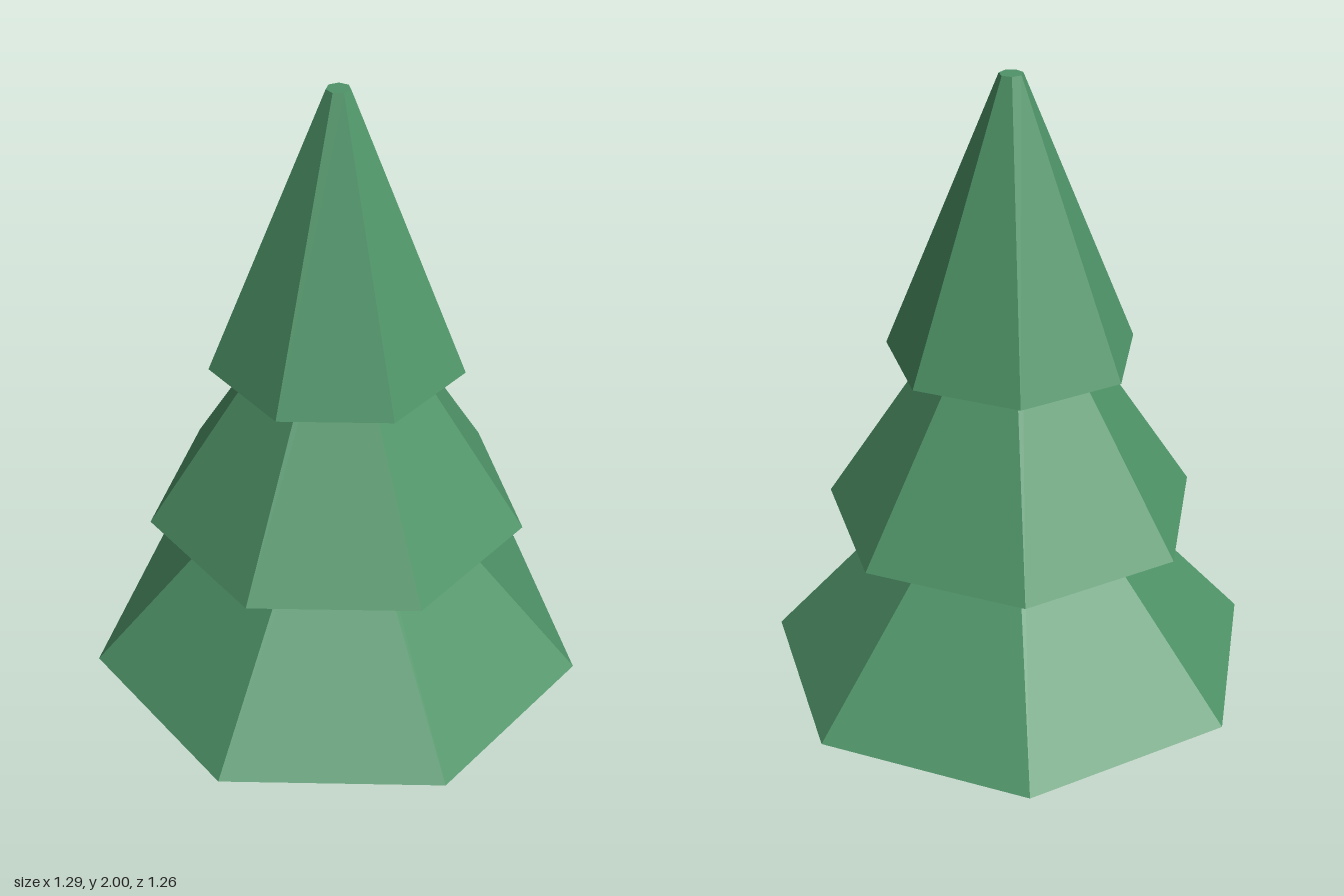
import * as THREE from 'three';

export function createModel() {
  const tree = new THREE.Group();
  tree.name = 'pineTree';

  const green = new THREE.MeshStandardMaterial({ color: 0x4f9468, flatShading: true });
  const brown = new THREE.MeshStandardMaterial({ color: 0x7a553a, flatShading: true });
  const axisZ = 0.033; // the odd-sided tiers put the axis slightly forward of centre

  // Closed tapered prism standing on y = base, with one corner pointing back
  function frustum(name, material, sides, bottomRadius, topRadius, base, height) {
    const geometry = new THREE.CylinderGeometry(topRadius, bottomRadius, height, sides, 1, false, Math.PI);
    const mesh = new THREE.Mesh(geometry, material);
    mesh.name = name;
    mesh.position.set(0, base + height / 2, axisZ);
    tree.add(mesh);
  }

  // Eight-sided trunk, running a little way into the lowest tier
  frustum('trunk', brown, 8, 0.108, 0.094, 0, 0.45);

  // Three overlapping seven-sided tiers of foliage, widest at the bottom
  const tiers = [
    ['lowerFoliage', 0.664, 0.37],
    ['middleFoliage', 0.497, 0.82],
    ['upperFoliage', 0.327, 1.275],
  ];
  for (const [name, radius, base] of tiers) {
    frustum(name, green, 7, radius, 0.03, base, 0.725);
  }

  return tree;
}
